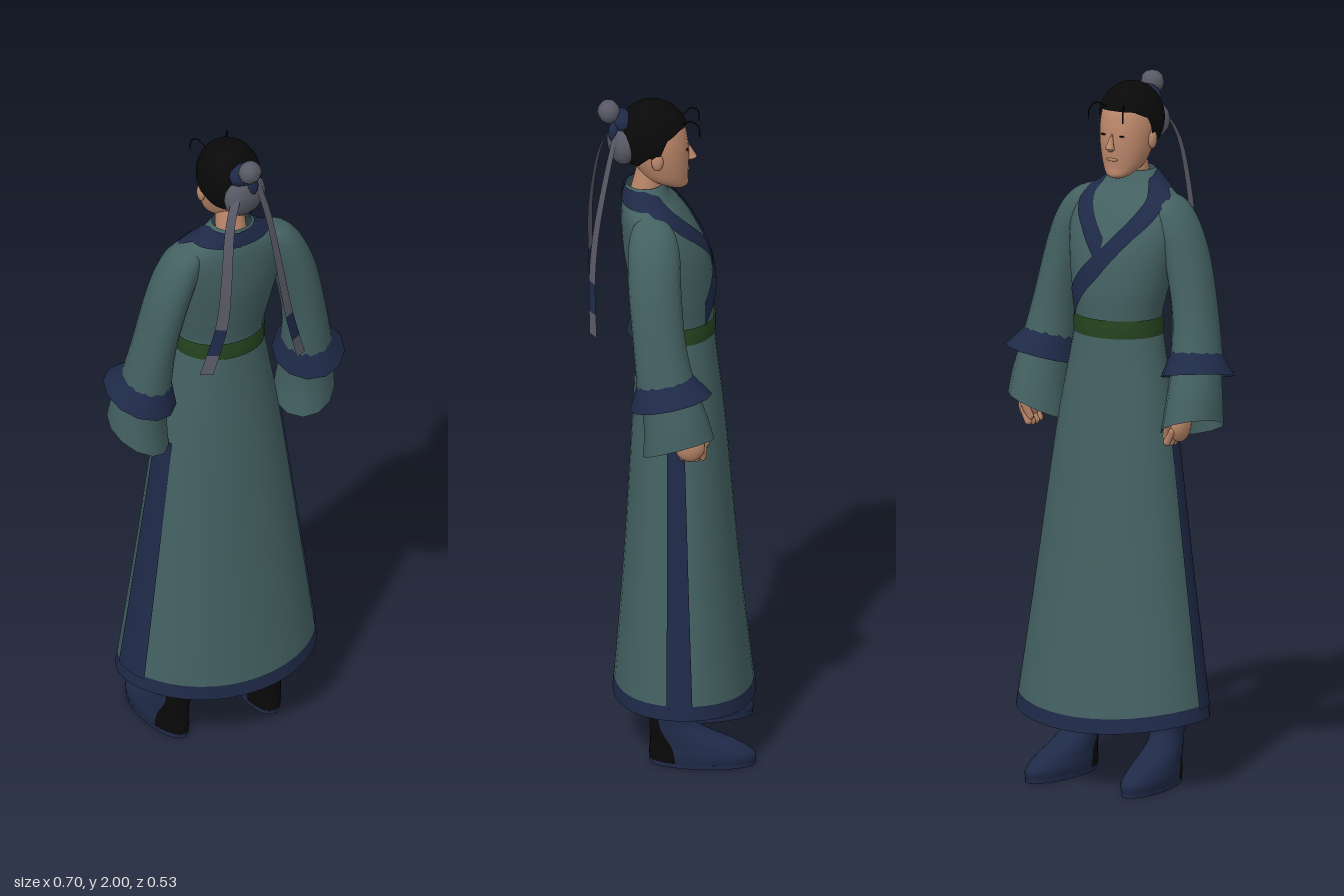
import * as THREE from 'three';
import { ParametricGeometry } from 'three/addons/geometries/ParametricGeometry.js';

const mat = (name, color, side = THREE.DoubleSide) => {
  const m = new THREE.MeshStandardMaterial({ color, side });
  m.name = name;
  return m;
};
const teal = mat('teal cloth', 0x446162), navy = mat('navy trim', 0x1f2a48);
const green = mat('green belt', 0x26441f), grey = mat('grey ribbon', 0x595966);
const black = mat('black hair and leather', 0x090909);
const skin = mat('skin', 0xbb876a);

const DEG = Math.PI / 180;
const FULL = [-180, 180];

// Smooth interpolation of section rows: [y, rx, rz, cx, cz, tilt, droop, lean]
function section(rows, v) {
  const n = rows.length - 1, f = Math.min(Math.max(v, 0), 1) * n;
  const i = Math.min(Math.floor(f), n - 1), t = f - i;
  const at = (k, c) => rows[Math.min(Math.max(k, 0), n)][c] || 0;
  return [0, 1, 2, 3, 4, 5, 6, 7].map((c) => {
    const p0 = at(i - 1, c), p1 = at(i, c), p2 = at(i + 1, c), p3 = at(i + 2, c);
    return p1 + 0.5 * t * (p2 - p0 + t * (2 * p0 - 5 * p1 + 4 * p2 - p3 + t * (3 * (p1 - p2) + p3 - p0)));
  });
}

// Point on a lofted body; angle 0 is the back (+z), 90 is +x
function onLoft(rows, v, deg, off, target) {
  const [y, rx, rz, cx, cz, tilt, droop, lean] = section(rows, v);
  const s = Math.sin(deg * DEG), c = Math.cos(deg * DEG);
  return target.set(cx + (rx + off) * s, y - tilt * c - droop * c * c + lean * s, cz + (rz + off) * c);
}

function surface(name, fn, nu, nv, material) {
  const mesh = new THREE.Mesh(new ParametricGeometry(fn, nu, nv), material);
  mesh.name = name;
  return mesh;
}

function loft(name, rows, material, [a0, a1] = FULL, off = 0, seg = 32) {
  const fn = (u, v, p) => onLoft(rows, v, a0 + (a1 - a0) * u, off, p);
  return surface(name, fn, seg, (rows.length - 1) * 4, material);
}

function ball(name, pos, scale, material, detail = 20) {
  const mesh = new THREE.Mesh(new THREE.SphereGeometry(1, detail, Math.ceil(detail * 0.6)), material);
  mesh.position.set(...pos);
  mesh.scale.set(...scale);
  mesh.name = name;
  return mesh;
}

// Piecewise linear lookup in [[x, y], ...]
function lookup(table, x) {
  let i = 0;
  while (i < table.length - 2 && x > table[i + 1][0]) i++;
  const [x0, y0] = table[i], [x1, y1] = table[i + 1];
  return y0 + (y1 - y0) * Math.min(Math.max((x - x0) / (x1 - x0), 0), 1);
}

const TORSO = [
  [1.29, 0.126, 0.108, 0, 0], [1.34, 0.128, 0.109, 0, 0], [1.42, 0.145, 0.118, 0, 0.008],
  [1.52, 0.165, 0.12, 0, 0.025], [1.6, 0.175, 0.106, 0, 0.046], [1.66, 0.155, 0.086, 0, 0.066],
  [1.7, 0.1, 0.066, 0, 0.08], [1.74, 0.056, 0.052, 0, 0.086]];

const SKIRT = [
  [0.235, 0.292, 0.197, 0.003, -0.024, 0, 0.03], [0.6, 0.24, 0.162, 0.002, -0.017, 0, 0.015],
  [1.0, 0.184, 0.132, 0, -0.01], [1.2, 0.148, 0.116, 0, -0.003], [1.31, 0.127, 0.108, 0, 0]];

// Collar band lying on the torso, its height given by angle from the back
function lapel(name, side, path, off) {
  const end = path[path.length - 1][0];
  return surface(name, (u, v, p) => {
    const a = u * end, half = lookup([[0, 0.022], [90, 0.021], [135, 0.039], [240, 0.04]], a);
    const y = lookup(path, a) + (v - 0.5) * 2 * half;
    let lo = 0, hi = 1;
    for (let i = 0; i < 20; i++) {
      const m = (lo + hi) / 2;
      if (section(TORSO, m)[0] < y) lo = m; else hi = m;
    }
    onLoft(TORSO, lo, side * a, off, p);
  }, 48, 5, navy);
}

function addRobe(body) {
  body.add(loft('torso', TORSO, teal), loft('skirt', SKIRT, teal, FULL, 0, 40));
  body.add(loft('skirtHem', [[0.2, 0.297, 0.201, 0.003, -0.025, 0, 0.03], [0.242, 0.291, 0.196, 0.003, -0.024, 0, 0.03]], navy, FULL, 0.001, 40));
  body.add(loft('belt', [[1.285, 0.132, 0.113], [1.31, 0.133, 0.114], [1.337, 0.132, 0.113]], green));
  body.add(lapel('outerLapel', -1, [[0, 1.712], [90, 1.715], [125, 1.685], [150, 1.61], [180, 1.495], [225, 1.37]], 0.007));
  body.add(lapel('innerLapel', 1, [[0, 1.712], [90, 1.715], [125, 1.688], [150, 1.625], [180, 1.525]], 0.004));
  // Trim down both side slits
  for (const range of [[74, 95], [-93, -63]]) {
    body.add(loft('sideTrim', SKIRT.slice(0, 3), navy, range, 0.004, 8));
  }
}

function addArm(body, s) {
  const arm = new THREE.Group();
  arm.name = s > 0 ? 'leftSideArm' : 'rightSideArm';
  arm.position.x = 0.008;
  arm.add(loft('upperSleeve', [
    [1.21, 0.072, 0.082, s * 0.25, 0.03, 0.01], [1.35, 0.062, 0.074, s * 0.232, 0.05],
    [1.5, 0.062, 0.074, s * 0.198, 0.062], [1.6, 0.06, 0.072, s * 0.163, 0.064],
    [1.66, 0.045, 0.055, s * 0.133, 0.068], [1.685, 0.008, 0.012, s * 0.11, 0.074]], teal, FULL, 0, 20));
  arm.add(loft('cuff', [[1.18, 0.1, 0.116, s * 0.26, 0.018, 0.026, 0, s * 0.017],
    [1.252, 0.066, 0.075, s * 0.247, 0.035, 0.01]], navy, FULL, 0, 12));
  arm.add(loft('lowerSleeve', [
    [1.035, 0.084, 0.1, s * 0.256, -0.004, 0.028, 0, s * 0.03], [1.12, 0.076, 0.088, s * 0.257, 0.006, 0.02, 0, s * 0.015],
    [1.23, 0.066, 0.074, s * 0.25, 0.03, 0.01]], teal, FULL, 0, 12));
  // Loosely closed hand
  const hand = new THREE.Group();
  hand.name = 'hand';
  hand.position.set(s * 0.252 + 0.016, 1.046, -0.035);
  hand.add(ball('palm', [0, 0, 0], [0.026, 0.047, 0.043], skin, 14));
  for (let i = 0; i < 4; i++) {
    const finger = new THREE.Mesh(new THREE.CapsuleGeometry(0.011, 0.035, 4, 8), skin);
    finger.position.set(s * -0.012, -0.033 + 0.004 * Math.abs(i - 1.5), -0.037 + i * 0.019);
    finger.rotation.z = s * -0.45;
    finger.name = 'finger';
    hand.add(finger);
  }
  const thumb = new THREE.Mesh(new THREE.CapsuleGeometry(0.011, 0.04, 4, 8), skin);
  thumb.position.set(s * -0.018, -0.01, -0.04);
  thumb.rotation.set(-0.3, 0, s * -0.3);
  thumb.name = 'thumb';
  hand.add(thumb);
  arm.add(hand);
  body.add(arm);
}

function addBoot(body, s) {
  const boot = new THREE.Group();
  boot.name = 'boot';
  const rows = [
    [0.008, 0.055, 0.148, 0, -0.073], [0.035, 0.058, 0.149, 0, -0.072], [0.065, 0.054, 0.124, 0, -0.05],
    [0.095, 0.05, 0.087, 0, -0.012], [0.13, 0.046, 0.06, 0, 0.016], [0.2, 0.048, 0.053, 0, 0.022],
    [0.5, 0.05, 0.056, 0, 0.015]];
  boot.add(loft('bootFront', rows, navy, [60, 300], 0, 24), loft('bootHeel', rows, black, [-60, 60], 0, 12));
  const sole = new THREE.Mesh(new THREE.CylinderGeometry(1, 1, 0.012, 24), navy);
  sole.scale.set(0.056, 1, 0.149);
  sole.position.set(0, 0.006, -0.073);
  sole.name = 'sole';
  boot.add(sole);
  boot.position.x = s * 0.144 - 0.006;
  boot.rotation.y = s * -0.09;
  body.add(boot);
}

function addHead(body) {
  const neck = new THREE.Mesh(new THREE.CylinderGeometry(0.04, 0.046, 0.13, 20), skin);
  neck.position.set(0, 1.735, 0.078);
  neck.rotation.x = -0.2;
  neck.name = 'neck';
  body.add(neck, loft('head', [
    [1.724, 0.006, 0.006, 0, -0.008], [1.734, 0.032, 0.032, 0, -0.003], [1.76, 0.056, 0.06, 0, 0.024],
    [1.8, 0.07, 0.076, 0, 0.038], [1.84, 0.077, 0.084, 0, 0.046], [1.88, 0.079, 0.086, 0, 0.052],
    [1.92, 0.073, 0.08, 0, 0.057], [1.955, 0.05, 0.055, 0, 0.06], [1.97, 0.004, 0.004, 0, 0.06]], skin));
  // Hair cap with a hairline that dips at the sideburns and nape
  const line = [[0, 1.8], [60, 1.815], [85, 1.85], [92, 1.845], [102, 1.85], [112, 1.9], [140, 1.92], [180, 1.922]];
  body.add(surface('hair', (u, v, p) => {
    const a = -180 + 360 * u;
    const low = Math.asin((lookup(line, Math.abs(a)) - 1.885) / 0.105);
    const e = low + (Math.PI / 2 - 0.01 - low) * v, r = Math.cos(e);
    p.set(0.09 * r * Math.sin(a * DEG), 1.885 + 0.105 * Math.sin(e), 0.065 + 0.102 * r * Math.cos(a * DEG));
  }, 60, 14, black));
  const nose = new THREE.Mesh(new THREE.ConeGeometry(0.014, 0.055, 8), skin);
  nose.position.set(0, 1.84, -0.04);
  nose.rotation.x = 0.28;
  nose.name = 'nose';
  body.add(nose, ball('noseTip', [0, 1.816, -0.043], [0.012, 0.01, 0.012], skin, 10));
  body.add(ball('mouth', [0, 1.783, -0.035], [0.019, 0.005, 0.005], skin, 12));
  for (const s of [-1, 1]) {
    body.add(ball('eye', [s * 0.031, 1.852, -0.0325], [0.009, 0.0025, 0.003], black, 10));
    body.add(ball('ear', [s * 0.079, 1.835, 0.052], [0.011, 0.027, 0.017], skin, 12));
    // Loose strand springing from the hairline
    const strand = new THREE.CatmullRomCurve3([[0.03, 1.93, -0.02], [0.045, 1.945, -0.045],
      [0.055, 1.932, -0.064], [0.058, 1.9, -0.068]].map(([x, y, z]) => new THREE.Vector3(s * x, y, z)));
    const hair = new THREE.Mesh(new THREE.TubeGeometry(strand, 12, 0.002, 5), black);
    hair.name = 'looseStrand';
    body.add(hair);
  }
}

// Long hair ribbon with a navy band near its tip; its flat side runs along (dx, dz)
function ribbon(dx, dz, points) {
  const group = new THREE.Group(), q = new THREE.Vector3();
  group.name = 'hairRibbon';
  const curve = new THREE.CatmullRomCurve3(points.map((p) => new THREE.Vector3(...p)));
  for (const [t0, t1, m] of [[0, 0.74, grey], [0.74, 0.89, navy], [0.89, 1, grey]]) {
    group.add(surface('ribbonPart', (u, v, p) => {
      const t = t1 + (t0 - t1) * v;
      curve.getPointAt(t, q);
      const w = (u - 0.5) * (0.024 + 0.014 * t);
      p.set(q.x + w * dx, q.y, q.z + w * dz);
    }, 1, 12, m));
  }
  return group;
}

export function createModel() {
  const model = new THREE.Group();
  model.name = 'robedFigure';
  const body = new THREE.Group();
  body.name = 'body';
  body.position.x = -0.01;
  body.rotation.y = -0.28;
  addRobe(body);
  addHead(body);
  for (const s of [-1, 1]) {
    addArm(body, s);
    addBoot(body, s);
  }
  // Topknot, its tie and the cloth behind it
  model.add(body, ball('topknot', [-0.052, 1.963, 0.183], [0.035, 0.034, 0.032], grey, 10));
  model.add(ball('topknotTie', [-0.045, 1.932, 0.145], [0.046, 0.034, 0.032], navy, 10));
  model.add(ball('hairCloth', [-0.043, 1.865, 0.15], [0.072, 0.062, 0.035], grey, 12));
  model.add(ball('clothKnot', [-0.034, 1.905, 0.172], [0.018, 0.032, 0.018], navy, 10));
  model.add(ribbon(0.75, 0.66, [[-0.08, 1.9, 0.165], [-0.125, 1.82, 0.185], [-0.155, 1.65, 0.203], [-0.17, 1.5, 0.2], [-0.21, 1.34, 0.18]]));
  model.add(ribbon(0.97, -0.24, [[-0.015, 1.9, 0.175], [0.0, 1.8, 0.203], [0.013, 1.62, 0.24], [0.03, 1.48, 0.257], [0.066, 1.33, 0.265]]));
  return model;
}
